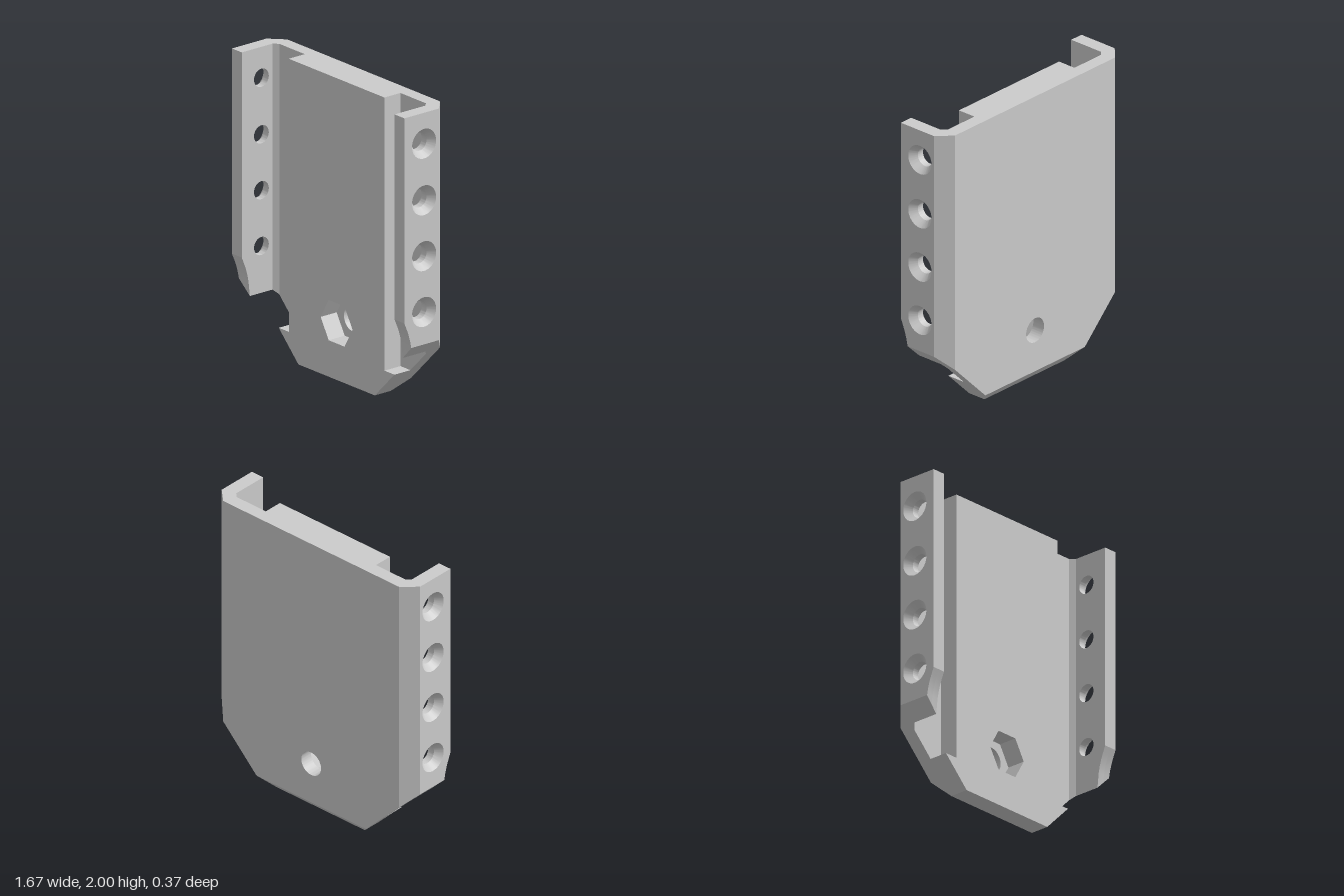
import * as THREE from 'three';
import { toCreasedNormals } from 'three/addons/utils/BufferGeometryUtils.js';

const BACK = -0.185, FLOOR = -0.095, FACE = 0.035, LIP = 0.185; // z levels
const OUT = 0.835, INN = 0.74, MID = (OUT + INN) / 2;           // side wall x levels
const CUT = 0.37;                                               // corner cut: y = x - CUT
const SCREW_Y = [0.68, 1.05, 1.42, 1.795], SCREW_Z = 0.025;
const SCREW_R = 0.06, SINK_R = 0.098;

const shapeOf = pts => new THREE.Shape(pts.map(p => new THREE.Vector2(...p)));
const circle = (x, y, r) => new THREE.Path().absarc(x, y, r, 0, Math.PI * 2, true);
const mirrored = half => [...half, ...half.map(([x, y]) => [-x, y]).reverse()];
const extrude = (shape, depth) =>
  new THREE.ExtrudeGeometry(shape, { depth, bevelEnabled: false, curveSegments: 36 });

// Moves every vertex by a rule
function reshape(geo, rule) {
  const p = geo.attributes.position, v = new THREE.Vector3();
  for (let i = 0; i < p.count; i++) {
    rule(v.fromBufferAttribute(p, i));
    p.setXYZ(i, v.x, v.y, v.z);
  }
  return geo;
}

// Keeps only triangles that do not lie flat on the plane x = MID
function openAtMid(geo) {
  const a = geo.attributes.position.array, kept = [];
  for (let i = 0; i < a.length; i += 9) {
    if ([0, 3, 6].some(k => Math.abs(a[i + k] - MID) > 1e-4)) kept.push(...a.slice(i, i + 9));
  }
  return new THREE.BufferGeometry().setAttribute('position', new THREE.Float32BufferAttribute(kept, 3));
}

// Reflects across x = 0 and restores the corner order
function mirrorX(geo) {
  const g = geo.clone(), a = g.attributes.position.array;
  for (let i = 0; i < a.length; i += 9) {
    for (let k = 0; k < 3; k++) [a[i + k], a[i + 6 + k]] = [a[i + 6 + k], a[i + k]];
    for (let k = 0; k < 9; k += 3) a[i + k] *= -1;
  }
  return g;
}

// Back plate with chamfered sides and bottom
function backPlate() {
  const s = shapeOf(mirrored([[CUT, 0], [OUT, OUT - CUT], [OUT, 2]]));
  s.holes.push(circle(0, 0.375, 0.083));
  return reshape(extrude(s, FLOOR - BACK).translate(0, 0, BACK), v => {
    if (v.z > BACK + 0.01) return;
    const side = Math.sign(v.x);
    if (Math.abs(v.x) > 0.8) {
      v.x = side * INN;
      if (v.y < 1) v.y = INN - CUT;
    } else if (v.y < 0.01) {
      v.y = 0.09;
      v.x = side * (CUT + 0.09);
    }
  });
}

// Raised centre block, full width at its foot, with a hexagonal nut pocket
function centreBlock() {
  const s = shapeOf(mirrored([[CUT, 0], [CUT + 0.19, 0.19], [0.463, 0.19], [0.463, 2]]));
  const hex = [];
  for (let i = 0; i < 6; i++) {
    const t = -i * Math.PI / 3;
    hex.push(new THREE.Vector2(0.154 * Math.cos(t), 0.375 + 0.154 * Math.sin(t)));
  }
  s.holes.push(new THREE.Path(hex));
  return extrude(s, FACE - FLOOR).translate(0, 0, FLOOR);
}

// One layer of the side wall: plain holes inside, countersinks outside
function wallLayer(x0, holeR) {
  const s = shapeOf([[-FLOOR, 2], [-LIP, 2], [-LIP, 0.64], [-0.168, 0.6], [-0.151, 0.556],
    [-0.138, 0.51], [-0.13, 0.47], [-0.129, OUT - CUT], [-FLOOR, OUT - CUT]]);
  for (const y of SCREW_Y) s.holes.push(circle(-SCREW_Z, y, holeR));
  const geo = extrude(s, OUT - MID).rotateY(Math.PI / 2).translate(x0, 0, 0);
  return openAtMid(reshape(geo, v => {
    if (v.y < 0.467) {
      // slanted lower end
      v.y = v.x - CUT;
      if (v.z > 0) v.z -= 0.01 * (OUT - v.x) / (OUT - INN);
    }
    if (holeR === SINK_R && v.x < MID + 0.001) {
      // narrow the countersink to the screw hole
      const y = SCREW_Y.find(h => Math.hypot(v.y - h, v.z - SCREW_Z) < SINK_R + 0.001);
      if (y === undefined) return;
      v.y = y + (v.y - y) * SCREW_R / SINK_R;
      v.z = SCREW_Z + (v.z - SCREW_Z) * SCREW_R / SINK_R;
    }
  }));
}

// Small bevel in the inside corner between plate and wall
function cornerBevel() {
  const s = shapeOf([[INN, -FLOOR], [INN, -FLOOR - 0.03], [INN - 0.03, -FLOOR]]);
  const geo = extrude(s, 1.6).rotateX(-Math.PI / 2).translate(0, 0.4, 0);
  return reshape(geo, v => { if (v.y < 1) v.y = v.x - CUT; });
}

export function createModel() {
  const model = new THREE.Group();
  model.name = 'mountingBracket';
  const material = new THREE.MeshStandardMaterial({ color: 0xcccccc });
  const add = (name, geo) => {
    const mesh = new THREE.Mesh(toCreasedNormals(geo, 0.4), material);
    mesh.name = name;
    model.add(mesh);
  };
  const addPair = (name, geo) => {
    add('left' + name, geo);
    add('right' + name, mirrorX(geo));
  };

  add('backPlate', backPlate());
  add('centreBlock', centreBlock());
  addPair('WallInner', wallLayer(INN, SCREW_R));
  addPair('WallOuter', wallLayer(MID, SINK_R));
  addPair('CornerBevel', cornerBevel());
  return model;
}
